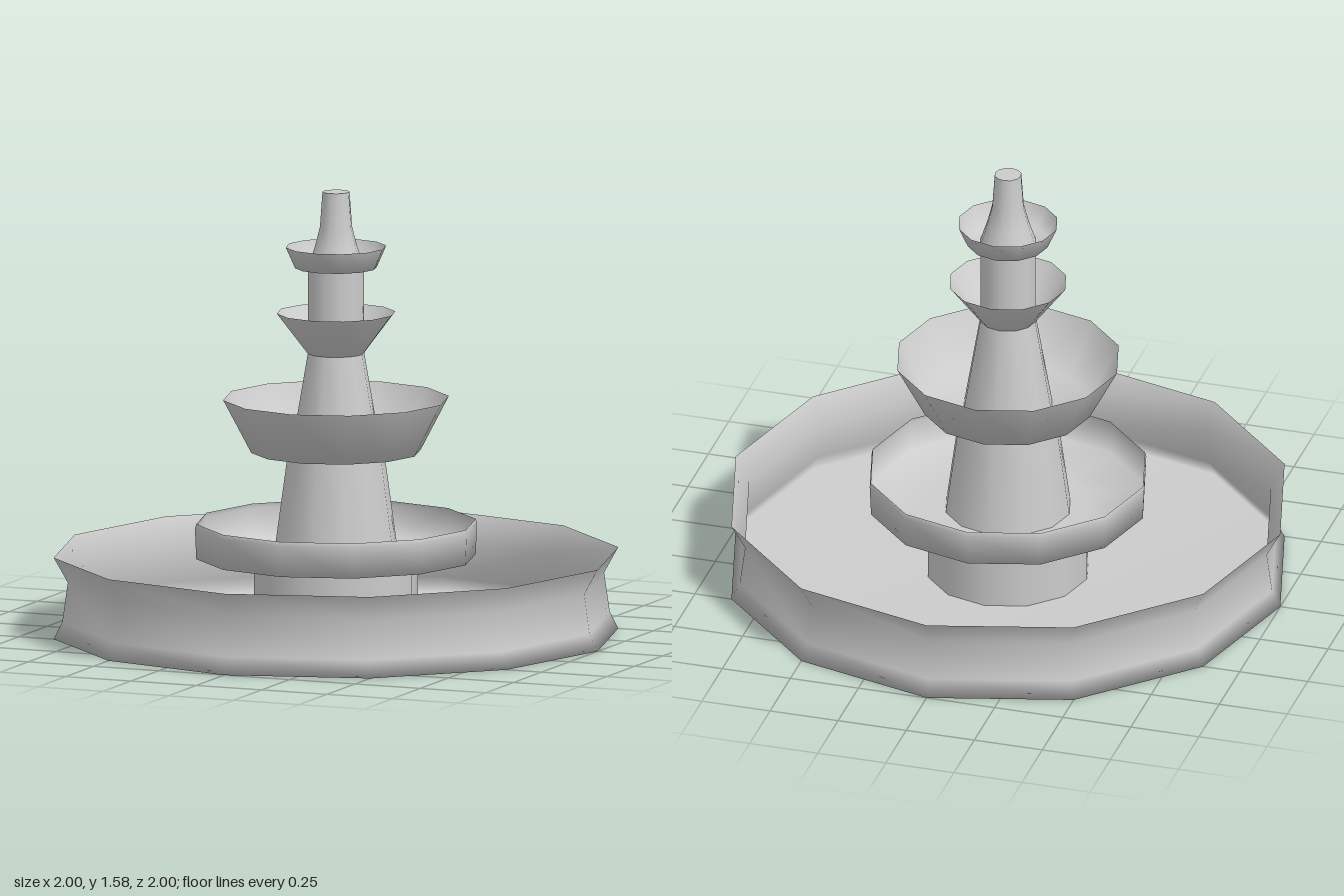
import * as THREE from 'three';

const SIDES = 12;

// Thin twelve-sided shell turned from a profile of [radius, height] points, bottom to top
function turned(name, profile) {
  const points = profile.map(([r, y]) => new THREE.Vector2(r, y));
  const material = new THREE.MeshStandardMaterial({ color: 0xcccccc, side: THREE.DoubleSide });
  const mesh = new THREE.Mesh(new THREE.LatheGeometry(points, SIDES), material);
  mesh.name = name;
  return mesh;
}

export function createModel() {
  const fountain = new THREE.Group();
  fountain.name = 'tieredFountain';

  const parts = {
    // Open pool at ground level, with a waisted wall and a flat floor
    basin: [[0, 0], [1, 0], [0.97, 0.06], [0.95, 0.2], [1, 0.29]],
    // Foot that carries the lowest bowl
    foot: [[0.29, 0], [0.29, 0.25]],
    // Bowls are open at the top
    lowerBowl: [[0, 0.25], [0.29, 0.25], [0.495, 0.275], [0.5, 0.385], [0.495, 0.4]],
    middleBowl: [[0, 0.65], [0.3, 0.65], [0.4, 0.84]],
    upperBowl: [[0, 1.0], [0.1, 1.0], [0.21, 1.145]],
    topBowl: [[0, 1.305], [0.145, 1.305], [0.178, 1.38]],
    // Tapered columns between the bowls
    lowerColumn: [[0.225, 0.25], [0.17, 0.65]],
    middleColumn: [[0.16, 0.65], [0.1, 1.0]],
    upperColumn: [[0.1, 1.0], [0.1, 1.305]],
    // Flared spout with a closed tip
    spout: [[0.1, 1.305], [0.075, 1.38], [0.057, 1.45], [0.048, 1.575]],
    spoutCap: [[0.048, 1.575], [0, 1.575]],
  };
  for (const [name, profile] of Object.entries(parts)) fountain.add(turned(name, profile));

  return fountain;
}
